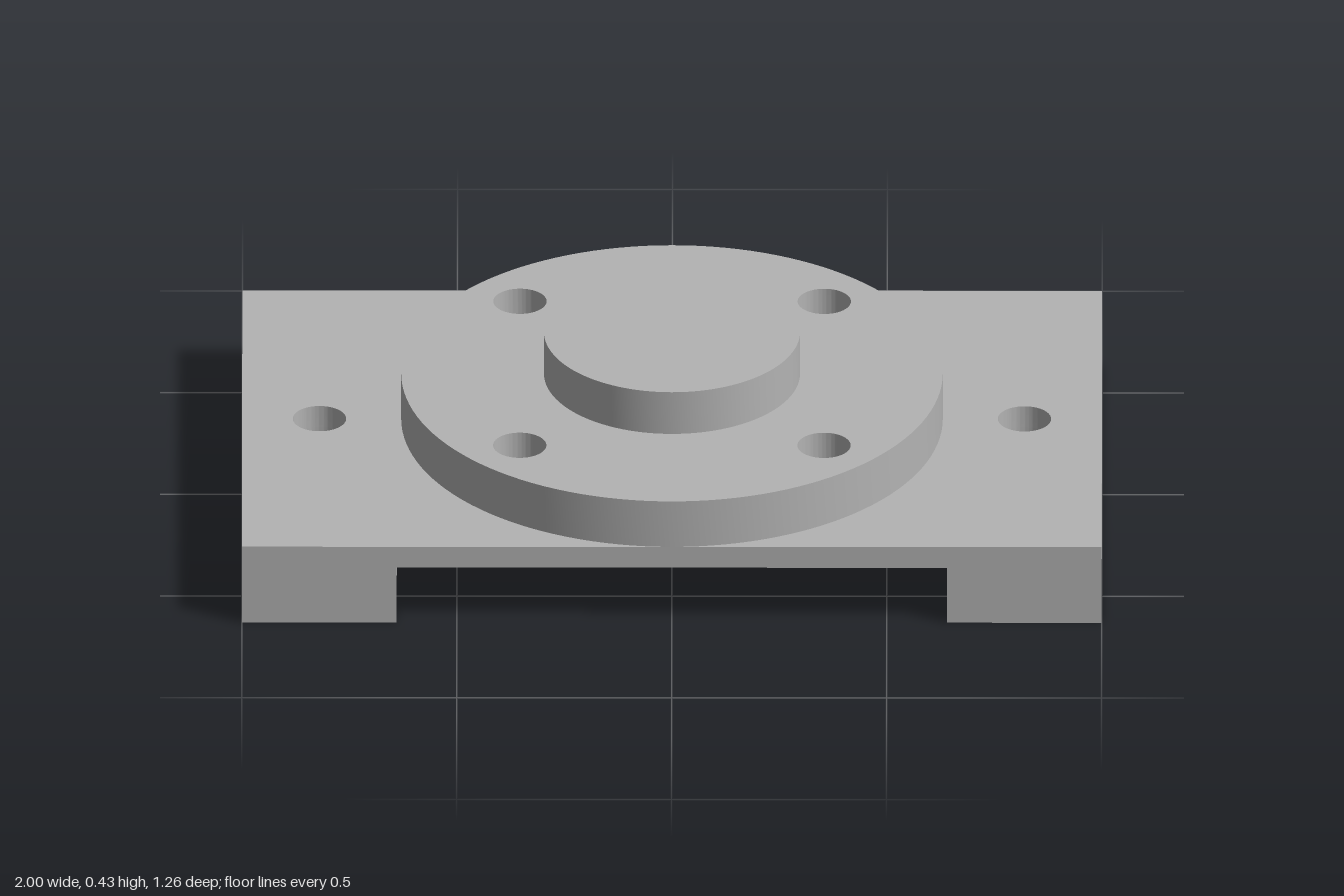
import * as THREE from 'three';
import { toCreasedNormals } from 'three/addons/utils/BufferGeometryUtils.js';

const HALF_X = 1, HALF_Z = 0.63, HOLE_R = 0.062;
const RECESS_X = 0.64, RIB_Z = 0.128;
const Y = { recess: 0.145, plate: 0.2, flange: 0.32, boss: 0.43 };

const polygon = (points) => new THREE.Shape(points.map(([x, z]) => new THREE.Vector2(x, z)));
const disc = (radius) => new THREE.Shape().absarc(0, 0, radius, 0, Math.PI * 2, false);

// Cuts round holes into a plan outline
function drill(shape, centres) {
  for (const [x, z] of centres) {
    shape.holes.push(new THREE.Path().absarc(x, z, HOLE_R, 0, Math.PI * 2, true));
  }
  return shape;
}

export function createModel() {
  const group = new THREE.Group();
  const grey = new THREE.MeshStandardMaterial({ color: 0xb3b3b3 });
  grey.name = 'machined grey';

  // Raises a plan outline from one height to another
  function layer(name, shape, bottom, top) {
    const extruded = new THREE.ExtrudeGeometry(shape, {
      depth: top - bottom, bevelEnabled: false, curveSegments: 64,
    });
    extruded.rotateX(-Math.PI / 2).translate(0, bottom, 0);
    const mesh = new THREE.Mesh(toCreasedNormals(extruded, 0.6), grey);
    mesh.name = name;
    group.add(mesh);
  }

  const endHoles = [[-0.82, 0], [0.82, 0]];
  const flangeHoles = [[-1, -1], [1, -1], [1, 1], [-1, 1]].map(([sx, sz]) => [sx * 0.354, sz * 0.354]);

  // Two end feet joined by a central rib, leaving a recess at front and back
  const feet = polygon([
    [-HALF_X, -HALF_Z], [-RECESS_X, -HALF_Z], [-RECESS_X, -RIB_Z], [RECESS_X, -RIB_Z],
    [RECESS_X, -HALF_Z], [HALF_X, -HALF_Z], [HALF_X, HALF_Z], [RECESS_X, HALF_Z],
    [RECESS_X, RIB_Z], [-RECESS_X, RIB_Z], [-RECESS_X, HALF_Z], [-HALF_X, HALF_Z],
  ]);
  layer('feetAndRib', drill(feet, endHoles), 0, Y.recess);

  // Full rectangular plate above the recesses
  const plate = polygon([[-HALF_X, -HALF_Z], [HALF_X, -HALF_Z], [HALF_X, HALF_Z], [-HALF_X, HALF_Z]]);
  layer('basePlate', drill(plate, [...endHoles, ...flangeHoles]), Y.recess, Y.plate);

  // Round flange with four bolt holes, and the solid boss on top
  layer('flange', drill(disc(HALF_Z), flangeHoles), Y.plate, Y.flange);
  layer('boss', disc(0.298), Y.flange, Y.boss);

  return group;
}
